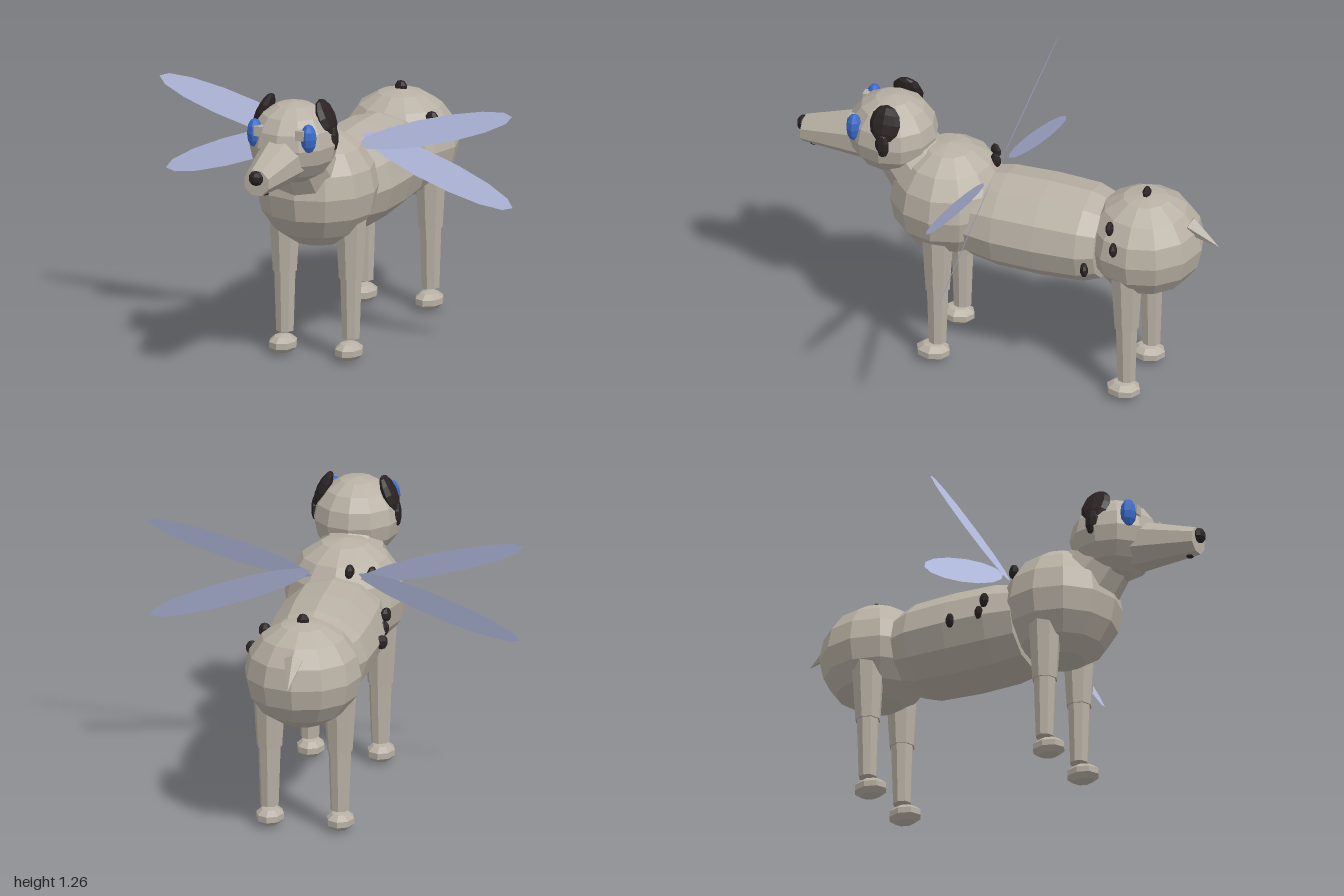
import * as THREE from 'three';

export function createModel() {
  const model = new THREE.Group();
  model.name = 'wingedDog';

  const paint = (name, color) => {
    const m = new THREE.MeshStandardMaterial({ color, flatShading: true });
    m.name = name;
    return m;
  };
  const fur = paint('fur', 0xb8b0a4);
  const dark = paint('darkMarkings', 0x2b2323);
  const blue = paint('eyeBlue', 0x3a6bcb);
  const wingBlue = paint('wingBlue', 0xb9c1e6);
  wingBlue.side = THREE.DoubleSide;

  const add = (name, geometry, material, pos = [0, 0, 0], rot = [0, 0, 0]) => {
    const mesh = new THREE.Mesh(geometry, material);
    mesh.name = name;
    mesh.position.set(...pos);
    mesh.rotation.set(...rot);
    model.add(mesh);
    return mesh;
  };
  // Faceted ellipsoid
  const blob = (name, material, pos, radii, seg = [8, 5], rot) =>
    add(name, new THREE.SphereGeometry(1, ...seg).scale(...radii), material, pos, rot);
  // Tapered limb between two points
  const limb = (name, from, to, r0, r1, sides) => {
    const a = new THREE.Vector3(...from), b = new THREE.Vector3(...to);
    const dir = b.clone().sub(a);
    const mesh = add(name, new THREE.CylinderGeometry(r1, r0, dir.length(), sides), fur);
    mesh.position.copy(a).add(b).multiplyScalar(0.5);
    mesh.quaternion.setFromUnitVectors(new THREE.Vector3(0, 1, 0), dir.normalize());
    return mesh;
  };

  // Body: chest, barrel and hips
  blob('chest', fur, [0, 0.785, 0.275], [0.275, 0.27, 0.27], [12, 8]);
  blob('hips', fur, [0, 0.75, -0.655], [0.265, 0.245, 0.265], [12, 8]);
  const barrel = [[0, -0.5], [0.84, -0.48], [0.96, -0.4], [1, -0.2], [0.98, 0], [0.88, 0.13], [0, 0.15]]
    .map(([r, z]) => new THREE.Vector2(r, z));
  add('torso', new THREE.LatheGeometry(barrel, 12).rotateX(Math.PI / 2).scale(0.25, 0.226, 1), fur, [0, 0.731, 0]);

  // Neck, head and muzzle
  limb('neck', [0, 0.84, 0.36], [0, 1.0, 0.5], 0.17, 0.14, 10);
  blob('head', fur, [0, 1.063, 0.545], [0.2, 0.185, 0.205], [12, 8]);
  const muzzle = new THREE.CylinderGeometry(0.062, 0.118, 0.31, 8).rotateX(Math.PI / 2).rotateZ(Math.PI / 8);
  const p = muzzle.attributes.position;
  for (let i = 0; i < p.count; i++) p.setY(i, p.getY(i) - 0.13 * p.getZ(i));
  add('muzzle', muzzle, fur, [0, 0.996, 0.81]);
  blob('nose', dark, [0, 1.0, 0.972], [0.035, 0.035, 0.028], [8, 5]);
  blob('mouth', dark, [0.015, 0.92, 0.915], [0.025, 0.01, 0.02], [6, 4]);

  // Tail
  limb('tail', [0, 0.875, -0.86], [0, 0.787, -1.0], 0.045, 0.001, 5);

  for (const s of [1, -1]) {
    const side = s > 0 ? 'left' : 'right';

    // Ears: a round pad with a hanging lobe
    blob(side + 'Ear', dark, [s * 0.15, 1.185, 0.528], [0.03, 0.087, 0.072], [8, 6], [0, 0, s * 0.42]);
    blob(side + 'EarLobe', dark, [s * 0.187, 1.09, 0.528], [0.018, 0.06, 0.035], [7, 5]);

    // Eyes with a small pale square
    blob(side + 'Eye', blue, [s * 0.13, 1.122, 0.682], [0.038, 0.067, 0.037], [8, 6]);
    add(side + 'EyeSpot', new THREE.BoxGeometry(0.04, 0.045, 0.04), fur, [s * 0.1, 1.14, 0.7]);

    // Legs and paws
    for (const [end, z, pawZ] of [['Front', 0.275, 0.295], ['Back', -0.622, -0.608]]) {
      const x = s * 0.16;
      limb(side + end + 'UpperLeg', [x, 0.7, z], [x, 0.38, z], 0.078, 0.058, 8);
      limb(side + end + 'LowerLeg', [x, 0.4, z], [x, 0.1, z], 0.052, 0.042, 8);
      blob(side + end + 'Paw', fur, [x, 0.044, pawZ], [0.066, 0.044, 0.082], [8, 5]);
    }

    // Wings: flat leaves with the lower edge tilted forward
    const wings = [
      ['UpperWing', [0.11, 0.935], [0.855, 1.145], 0.061, 0.073],
      ['LowerWing', [0.11, 0.975], [0.84, 0.712], 0.064, 0.035],
    ];
    for (const [name, root, tip, half, z] of wings) {
      const dx = tip[0] - root[0], dy = tip[1] - root[1], len = Math.hypot(dx, dy);
      const leaf = new THREE.CircleGeometry(1, 14).scale(len / 2, half, 1)
        .rotateX(-0.33).rotateZ(s * Math.atan2(dy, dx));
      add(side + name, leaf, wingBlue, [s * (root[0] + tip[0]) / 2, (root[1] + tip[1]) / 2, z]);
    }
  }

  // Coat spots
  const spots = [
    [0, 0.995, -0.66], [0.195, 0.9, -0.555], [0.245, 0.825, -0.59], [0.24, 0.685, -0.45],
    [-0.255, 0.73, -0.155], [-0.235, 0.745, -0.02], [-0.24, 0.8, 0.01],
    [-0.155, 0.95, 0.115], [-0.06, 0.965, 0.08],
  ];
  spots.forEach((pos, i) => blob('spot' + (i + 1), dark, pos, [0.03, 0.034, 0.019], [7, 5], [0, i * 0.15, 0]));

  return model;
}
